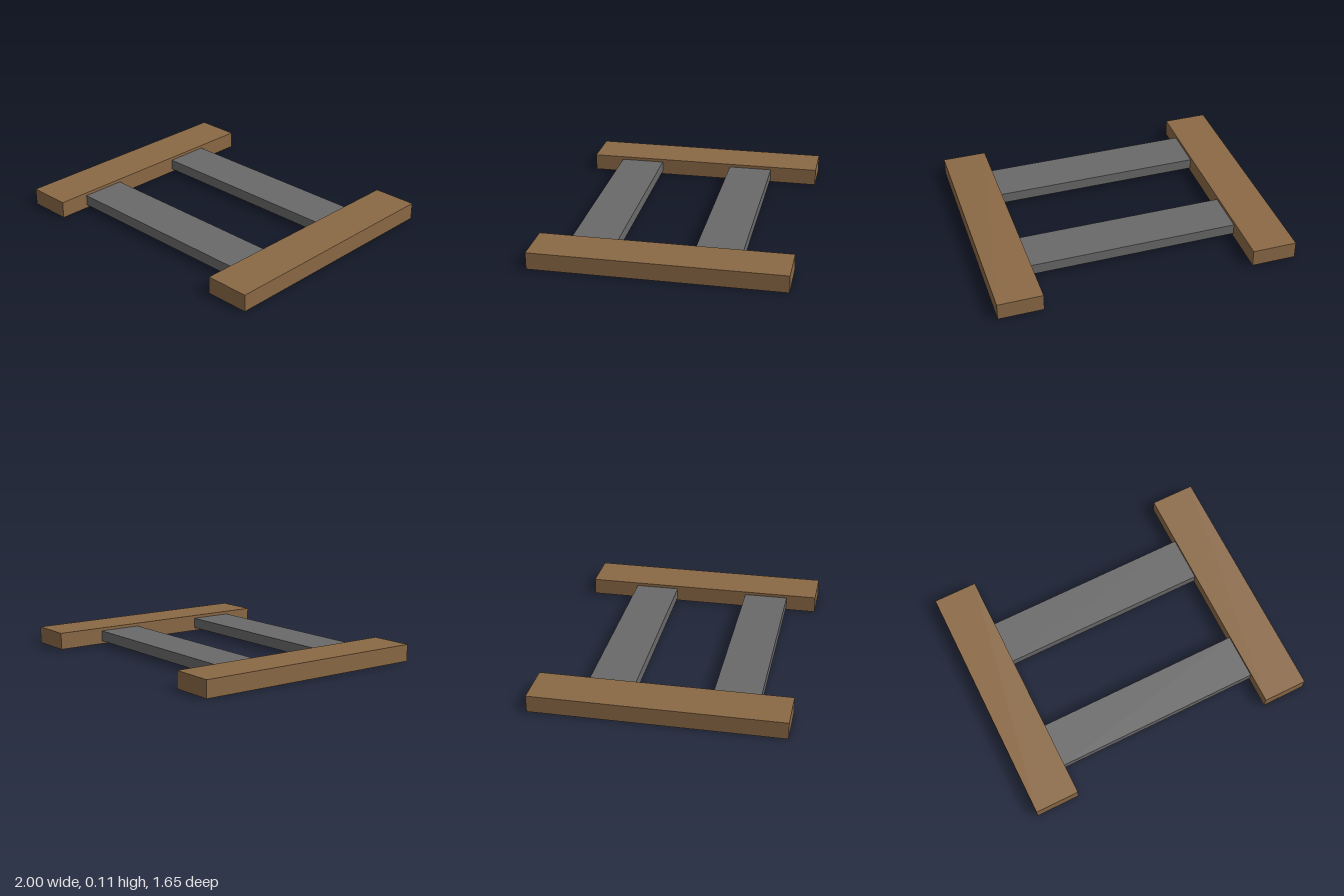
import * as THREE from 'three';

export function createModel() {
  const model = new THREE.Group();
  const wood = new THREE.MeshStandardMaterial({ color: 0x8b6945 });
  wood.name = 'brown wood';
  const metal = new THREE.MeshStandardMaterial({ color: 0x696969 });
  metal.name = 'grey metal';

  // Box given by its extents along each axis
  function addBox(name, material, [x0, x1], [y0, y1], [z0, z1]) {
    const mesh = new THREE.Mesh(new THREE.BoxGeometry(x1 - x0, y1 - y0, z1 - z0), material);
    mesh.position.set((x0 + x1) / 2, (y0 + y1) / 2, (z0 + z1) / 2);
    mesh.name = name;
    model.add(mesh);
  }

  // Two long side beams resting on the ground
  addBox('leftBeam', wood, [0.702, 1], [0, 0.114], [-0.826, 0.826]);
  addBox('rightBeam', wood, [-1, -0.702], [0, 0.114], [-0.826, 0.826]);

  // Two raised crossbars between the beams, set slightly unevenly
  addBox('frontCrossbar', metal, [-0.702, 0.702], [0.021, 0.093], [0.314, 0.618]);
  addBox('backCrossbar', metal, [-0.702, 0.702], [0.021, 0.093], [-0.498, -0.194]);

  return model;
}
